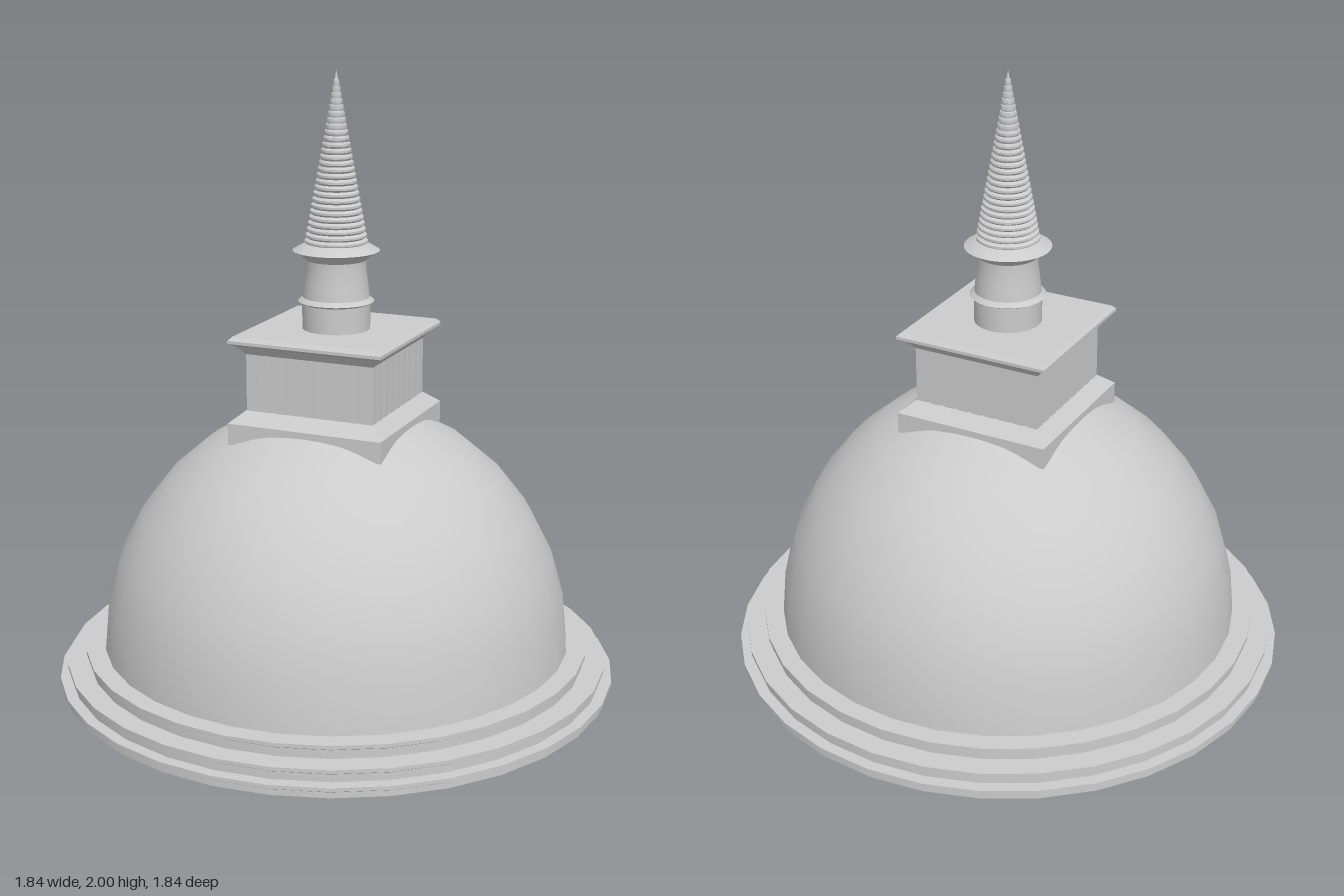
import * as THREE from 'three';
import { toCreasedNormals } from 'three/addons/utils/BufferGeometryUtils.js';

const material = new THREE.MeshStandardMaterial({ color: 0xcccccc });

// Revolved part from [radius, height] pairs, listed bottom to top
function turned(name, profile, sides = 32, crease = 0.5) {
  const points = profile.map(([r, y]) => new THREE.Vector2(r, y));
  const geometry = toCreasedNormals(new THREE.LatheGeometry(points, sides), crease);
  const mesh = new THREE.Mesh(geometry, material);
  mesh.name = name;
  return mesh;
}

// Square part from [half width, height] pairs
function squared(name, profile) {
  const mesh = turned(name, profile.map(([w, y]) => [w * Math.SQRT2, y]), 4, 0.1);
  mesh.geometry.rotateY(Math.PI / 4);
  return mesh;
}

export function createModel() {
  const model = new THREE.Group();
  model.name = 'stupa';

  // Three stepped rings, each with a thin lip at its top
  const base = [[0, 0]];
  for (const [r, bottom, top] of [[0.92, 0, 0.037], [0.893, 0.037, 0.08], [0.832, 0.08, 0.126]]) {
    base.push([r - 0.01, bottom], [r - 0.01, top - 0.018], [r, top - 0.012], [r, top]);
  }
  base.push([0.74, 0.126]);
  model.add(turned('steppedBase', base));

  // Slightly tall half dome
  const dome = [];
  for (let i = 0; i <= 8; i++) {
    const a = (i / 8) * Math.PI / 2;
    dome.push([i === 8 ? 0 : 0.77 * Math.cos(a), 0.12 + 0.81 * Math.sin(a)]);
  }
  model.add(turned('dome', dome));

  // Square plinth, chamber and cornice
  model.add(squared('plinth', [[0, 0.83], [0.262, 0.83], [0.262, 0.9], [0.218, 0.937], [0, 0.937]]));
  model.add(squared('chamber', [[0.212, 0.93], [0.212, 1.13]]));
  model.add(squared('cornice', [
    [0, 1.122], [0.217, 1.122], [0.24, 1.15], [0.26, 1.16], [0.26, 1.17], [0.248, 1.182], [0, 1.182],
  ]));

  // Low upright strips on the chamber walls
  const strip = new THREE.BoxGeometry(0.036, 0.19, 0.008);
  for (let side = 0; side < 4; side++) {
    const wall = new THREE.Group();
    wall.name = 'chamberStrips';
    wall.rotation.y = side * Math.PI / 2;
    for (let i = 0; i < 9; i++) {
      const mesh = new THREE.Mesh(strip, material);
      mesh.name = 'strip';
      mesh.position.set((i - 4) * 0.0495, 1.03, 0.212);
      wall.add(mesh);
    }
    model.add(wall);
  }

  // Round neck with a small lip and a wide collar
  model.add(turned('neck', [
    [0.109, 1.175], [0.109, 1.265], [0.122, 1.272], [0.107, 1.285], [0.102, 1.33],
    [0.096, 1.38], [0.097, 1.405], [0.112, 1.42], [0.139, 1.435], [0.113, 1.45], [0.09, 1.462], [0, 1.462],
  ]));

  // Ringed spire tapering to a point
  const spire = [];
  const rings = 27;
  const bottom = 1.455, height = 1.97 - bottom;
  for (let i = 0; i < rings; i++) {
    const t = i / rings, r = 0.101 * (1 - t) + 0.006 * t;
    const y = bottom + t * height, step = height / rings;
    spire.push([r * 0.92, y], [r, y + step * 0.3], [r, y + step * 0.65], [r * 0.92, y + step * 0.95]);
  }
  spire.push([0.006, 1.97], [0, 2]);
  model.add(turned('spire', spire));

  return model;
}
